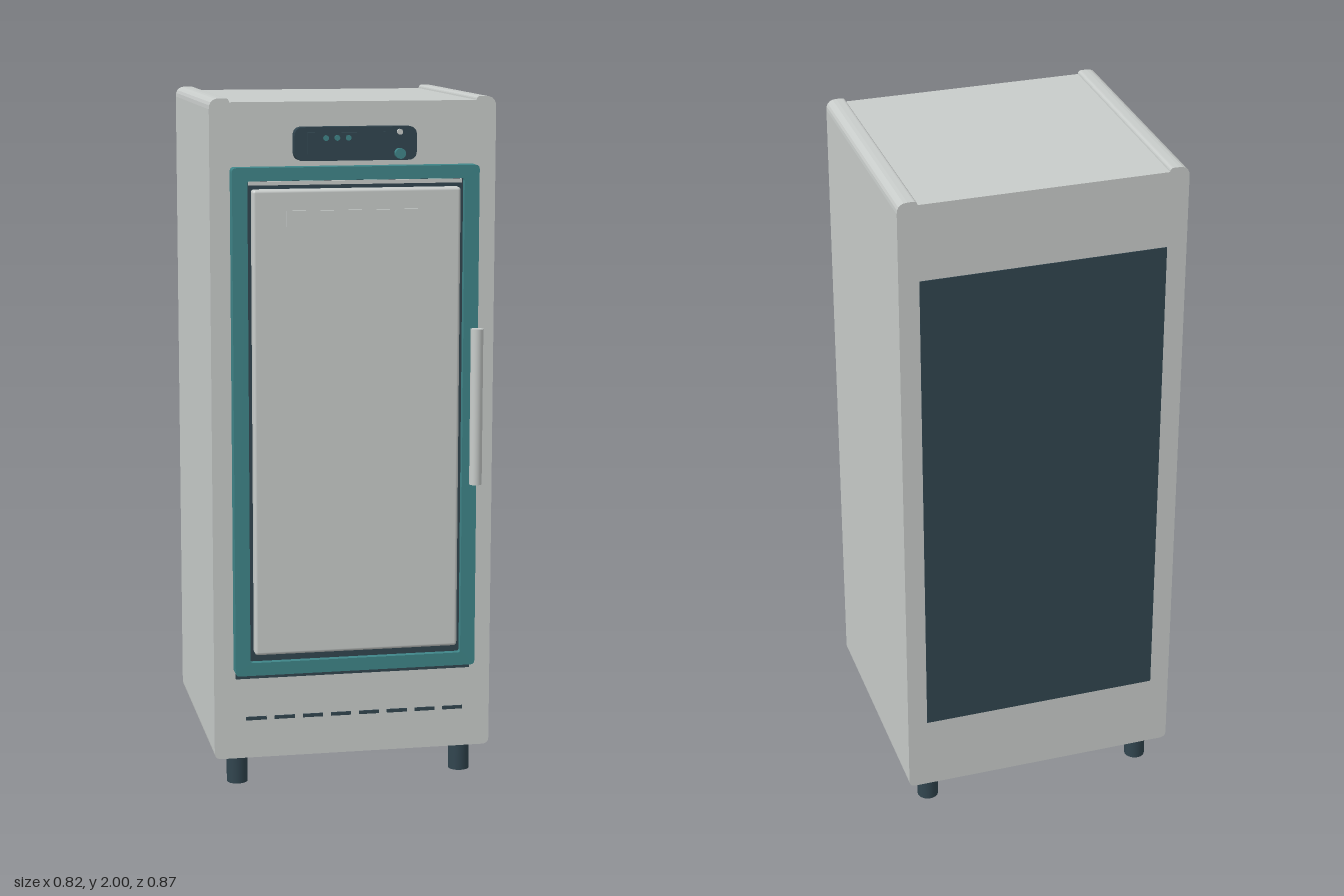
import * as THREE from 'three';
import { RoundedBoxGeometry } from 'three/addons/geometries/RoundedBoxGeometry.js';

const mat = (name, color) => {
  const m = new THREE.MeshStandardMaterial({ color });
  m.name = name;
  return m;
};

// Rounded rectangle outline, usable as Shape or hole
function roundRect(x0, x1, y0, y1, r, Type = THREE.Shape) {
  const s = new Type();
  s.moveTo(x0 + r, y0);
  s.lineTo(x1 - r, y0);
  s.quadraticCurveTo(x1, y0, x1, y0 + r);
  s.lineTo(x1, y1 - r);
  s.quadraticCurveTo(x1, y1, x1 - r, y1);
  s.lineTo(x0 + r, y1);
  s.quadraticCurveTo(x0, y1, x0, y1 - r);
  s.lineTo(x0, y0 + r);
  s.quadraticCurveTo(x0, y0, x0 + r, y0);
  return s;
}

// Extrude a shape between two z positions
function slab(shape, z0, z1) {
  const g = new THREE.ExtrudeGeometry(shape, { depth: z1 - z0, bevelEnabled: false, curveSegments: 5 });
  return g.translate(0, 0, z0);
}

export function createModel() {
  const model = new THREE.Group();
  model.name = 'uprightCabinet';
  const steel = mat('paleSteel', 0xc8ccca);
  const teal = mat('teal', 0x3f8588);
  const dark = mat('darkSlate', 0x31454f);

  const add = (name, geometry, material, x = 0, y = 0, z = 0) => {
    const mesh = new THREE.Mesh(geometry, material);
    mesh.name = name;
    mesh.position.set(x, y, z);
    model.add(mesh);
    return mesh;
  };
  const box = (name, x0, x1, y0, y1, z0, z1, material) =>
    add(name, new THREE.BoxGeometry(x1 - x0, y1 - y0, z1 - z0), material,
      (x0 + x1) / 2, (y0 + y1) / 2, (z0 + z1) / 2);

  // Cabinet body: raised rounded rail along each top edge
  const b = new THREE.Shape();
  const r = 0.02;
  b.moveTo(-0.41 + r, 0.09);
  b.lineTo(0.41 - r, 0.09);
  b.quadraticCurveTo(0.41, 0.09, 0.41, 0.09 + r);
  b.lineTo(0.41, 1.97);
  b.quadraticCurveTo(0.41, 2, 0.38, 2);
  b.lineTo(0.364, 2);
  b.quadraticCurveTo(0.354, 2, 0.353, 1.989);
  b.lineTo(-0.353, 1.989);
  b.quadraticCurveTo(-0.354, 2, -0.364, 2);
  b.lineTo(-0.38, 2);
  b.quadraticCurveTo(-0.41, 2, -0.41, 1.97);
  b.lineTo(-0.41, 0.09 + r);
  b.quadraticCurveTo(-0.41, 0.09, -0.41 + r, 0.09);
  add('cabinetBody', slab(b, -0.431, 0.32), steel);

  // Dark rear panel and the strip under the door
  box('rearPanel', -0.352, 0.352, 0.315, 1.767, -0.433, -0.428, dark);
  box('lowerSeal', -0.347, 0.347, 0.33, 0.352, 0.315, 0.325, dark);

  // Door: frame, dark gasket backing, raised panel
  const frame = roundRect(-0.353, 0.353, 0.35, 1.81, 0.012);
  frame.holes.push(roundRect(-0.31, 0.31, 0.388, 1.773, 0.008, THREE.Path));
  add('doorFrame', slab(frame, 0.32, 0.365), teal);
  box('doorGasket', -0.312, 0.312, 0.386, 1.775, 0.318, 0.345, dark);
  box('doorTopTrim', -0.305, 0.305, 1.76, 1.771, 0.345, 0.352, steel);
  add('doorPanel', new RoundedBoxGeometry(0.594, 1.335, 0.04, 3, 0.009), steel, -0.002, 1.0825, 0.366);
  box('doorLabelPlate', -0.205, 0.203, 1.648, 1.692, 0.391, 0.398, steel);

  // Vertical bar handle
  add('doorHandle', new THREE.CylinderGeometry(0.018, 0.018, 0.45, 24), steel, 0.338, 1.125, 0.414);

  // Control panel with display, indicators and knob
  add('controlPanel', slab(roundRect(-0.175, 0.173, 1.826, 1.92, 0.025), 0.32, 0.356), dark);
  box('controlDisplay', -0.14, 0.083, 1.845, 1.905, 0.355, 0.364, dark);
  const disc = (name, radius, x, y, z0, z1, material) => {
    const g = new THREE.CylinderGeometry(radius, radius, z1 - z0, 16).rotateX(Math.PI / 2);
    return add(name, g, material, x, y, (z0 + z1) / 2);
  };
  for (const x of [-0.088, -0.056, -0.024]) disc('indicatorLight', 0.008, x, 1.89, 0.362, 0.367, teal);
  disc('controlKnob', 0.015, 0.123, 1.845, 0.355, 0.375, teal);
  disc('statusLight', 0.008, 0.123, 1.905, 0.355, 0.367, steel);

  // Row of vent slots
  for (let i = 0; i < 8; i++) {
    const x = -0.287 + i * 0.0836;
    box('ventSlot', x - 0.03, x + 0.03, 0.204, 0.214, 0.317, 0.324, dark);
  }

  // Feet
  for (const x of [-0.335, 0.335])
    for (const z of [-0.363, 0.253])
      add('foot', new THREE.CylinderGeometry(0.031, 0.031, 0.1, 20), dark, x, 0.05, z);

  return model;
}
